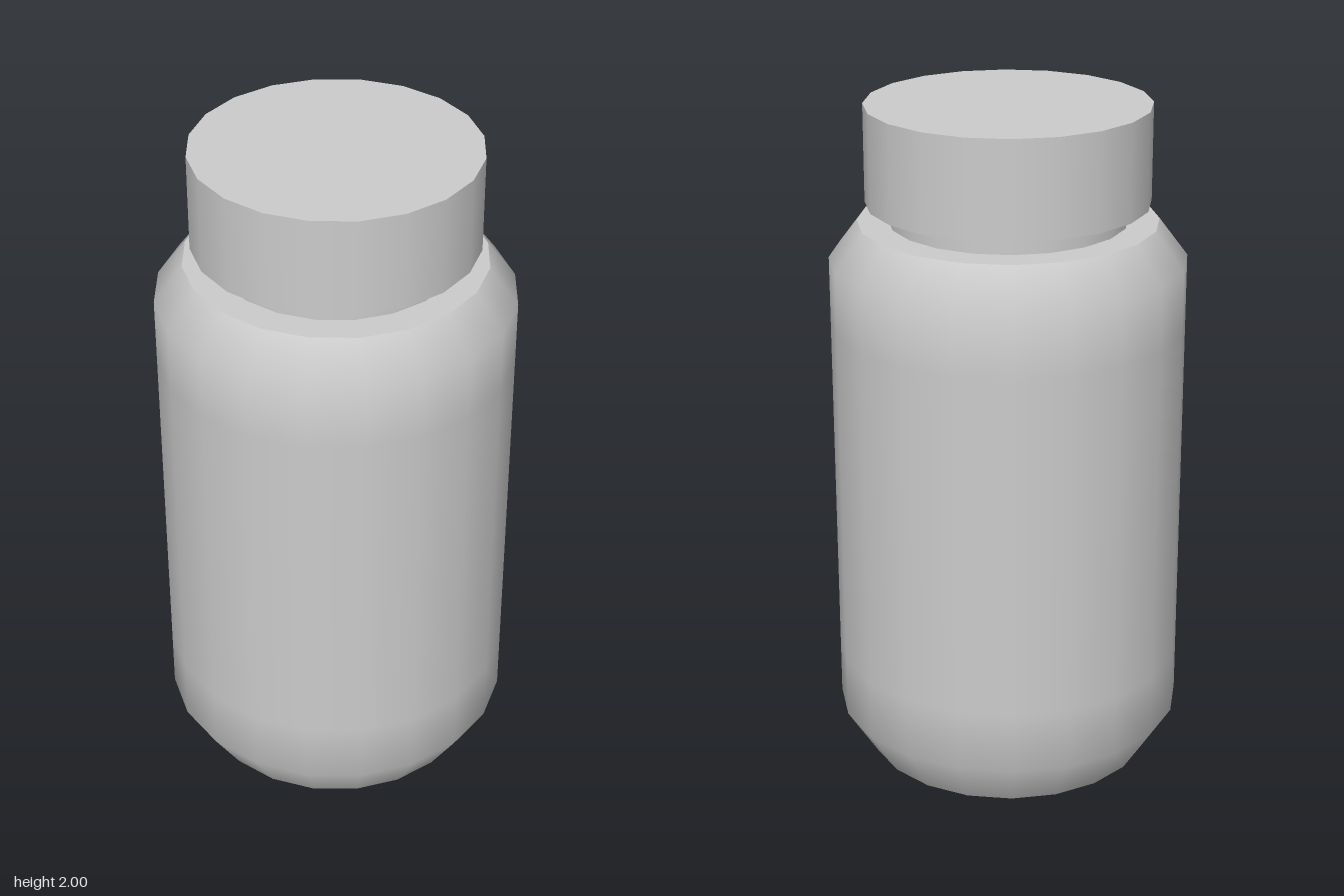
import * as THREE from 'three';
import { mergeGeometries } from 'three/addons/utils/BufferGeometryUtils.js';

const SIDES = 20;

// Smooth lathe of a profile [radius, y]; separate profiles meet in a sharp edge
const lathe = (profile) =>
  new THREE.LatheGeometry(profile.map(([r, y]) => new THREE.Vector2(r, y)), SIDES);

export function createModel() {
  const group = new THREE.Group();
  const material = new THREE.MeshStandardMaterial({ color: 0xcccccc });

  const add = (name, geometry, y = 0) => {
    const mesh = new THREE.Mesh(geometry, material);
    mesh.name = name;
    mesh.position.y = y;
    group.add(mesh);
  };

  // Cylinder standing between two heights
  const drum = (name, radius, y0, y1) =>
    add(name, new THREE.CylinderGeometry(radius, radius, y1 - y0, SIDES), (y0 + y1) / 2);

  // Body: flat base, bevelled wall with softly shaded corners, flat shoulder
  add('body', mergeGeometries([
    lathe([[0, 0], [0.425, 0]]),
    lathe([[0.425, 0], [0.517, 0.145], [0.517, 0.33], [0.517, 1.36], [0.517, 1.55], [0.434, 1.66]]),
    lathe([[0.434, 1.66], [0, 1.66]]),
  ]));

  // Neck and lid
  drum('neck', 0.345, 1.65, 1.72);
  drum('lid', 0.41, 1.715, 2);

  return group;
}
